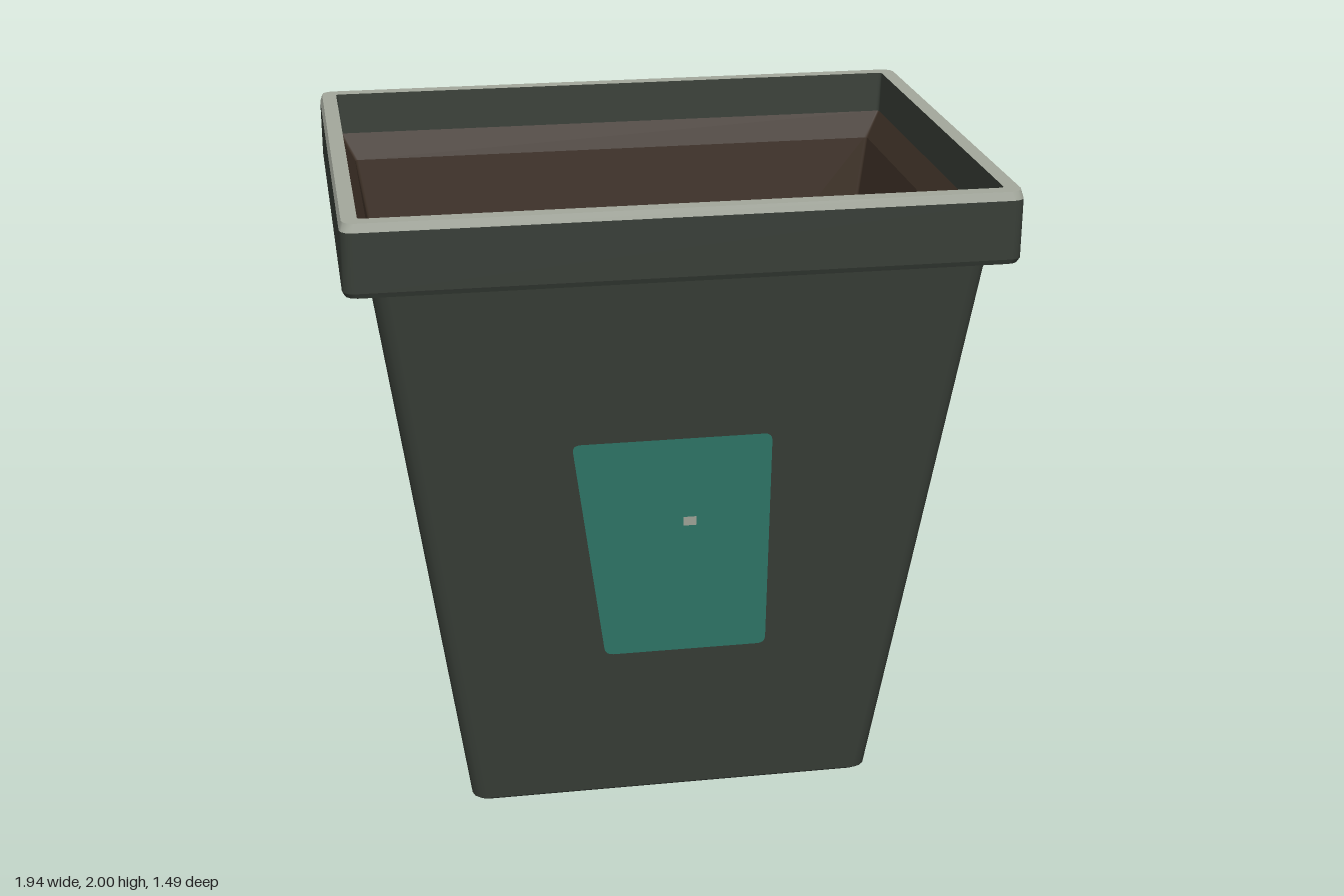
import * as THREE from 'three';

const material = (name, color) => {
  const m = new THREE.MeshStandardMaterial({ color });
  m.name = name;
  return m;
};

// Rounded rectangle ring in the xz plane: [half width, half depth, corner radius, height]
function ringPoints([hx, hz, r, y], seg = 3) {
  const pts = [];
  for (let q = 0; q < 4; q++) {
    const sx = q === 0 || q === 3 ? 1 : -1, sz = q < 2 ? 1 : -1;
    for (let i = 0; i <= seg; i++) {
      const a = (q + i / seg) * Math.PI / 2;
      pts.push(sx * (hx - r) + r * Math.cos(a), y, sz * (hz - r) + r * Math.sin(a));
    }
  }
  return pts;
}

// Skin between successive rings; every band has its own vertices so ring edges stay crisp
function loft(rings) {
  const pos = [], index = [];
  for (let k = 0; k < rings.length - 1; k++) {
    const base = pos.length / 3;
    const low = ringPoints(rings[k]), high = ringPoints(rings[k + 1]);
    const n = low.length / 3;
    pos.push(...low, ...high);
    for (let j = 0; j < n; j++) {
      const a = base + j, b = base + (j + 1) % n, c = a + n, d = b + n;
      index.push(a, c, b, b, c, d);
    }
  }
  const g = new THREE.BufferGeometry();
  g.setAttribute('position', new THREE.Float32BufferAttribute(pos, 3));
  g.setIndex(index);
  g.computeVertexNormals();
  return g;
}

// Outline with softened corners
function softShape(pts, r) {
  const v = pts.map(([x, y]) => new THREE.Vector2(x, y));
  const s = new THREE.Shape();
  v.forEach((p, i) => {
    const prev = v[(i + v.length - 1) % v.length], next = v[(i + 1) % v.length];
    const a = p.clone().add(prev.clone().sub(p).setLength(r));
    const b = p.clone().add(next.clone().sub(p).setLength(r));
    if (i) s.lineTo(a.x, a.y); else s.moveTo(a.x, a.y);
    s.quadraticCurveTo(p.x, p.y, b.x, b.y);
  });
  s.closePath();
  return s;
}

// Flat patch laid on a sloping wall; face is +1 for +z and -1 for -z
function wallPatch(pts, r, face, depthAt) {
  const g = new THREE.ShapeGeometry(softShape(pts.map(([x, y]) => [x * face, y]), r), 4);
  const p = g.attributes.position;
  for (let i = 0; i < p.count; i++) p.setZ(i, depthAt(p.getY(i)));
  g.computeVertexNormals();
  if (face < 0) g.rotateY(Math.PI);
  return g;
}

export function createModel() {
  const green = material('dark green', 0x383e37);
  const teal = material('teal', 0x2f7869);
  const grey = material('pale grey', 0xa3a89c);
  const brown = material('dark brown', 0x3d3026);

  const model = new THREE.Group();
  model.name = 'bin';
  const add = (name, geometry, mat) => {
    const m = new THREE.Mesh(geometry, mat);
    m.name = name;
    model.add(m);
  };

  // Tapered outer wall with its base
  add('outerBody', loft([[0, 0, 0, 0], [0.625, 0.48, 0.04, 0], [0.637, 0.492, 0.045, 0.01],
    [0.892, 0.685, 0.05, 1.785]]), green);

  // Overhanging collar, from its underside to the bevel
  add('collar', loft([[0.88, 0.67, 0.04, 1.785], [0.965, 0.738, 0.035, 1.785],
    [0.972, 0.744, 0.035, 1.8], [0.972, 0.744, 0.035, 1.975]]), green);

  // Pale lip on top
  add('lip', loft([[0.972, 0.744, 0.035, 1.975], [0.965, 0.737, 0.035, 2],
    [0.92, 0.692, 0.01, 2]]), grey);

  // Inside of the collar
  add('innerCollar', loft([[0.92, 0.692, 0.01, 2], [0.915, 0.687, 0.01, 1.87]]), green);

  // Inner walls and floor
  add('lining', loft([[0.915, 0.687, 0.01, 1.87], [0.87, 0.66, 0.01, 1.785],
    [0.597, 0.45, 0.005, 0.05], [0, 0, 0, 0.05]]), brown);

  // Label with a small mark, on front and back, and stains on the inner walls
  const outerZ = y => 0.491 + 0.1087 * (y - 0.01);
  const innerZ = y => 0.45 + 0.121 * (y - 0.05);
  const label = [[-0.222, 0.52], [0.28, 0.52], [0.272, 1.26], [-0.328, 1.26]];
  const mark = [[0.01, 0.965], [0.05, 0.965], [0.05, 0.995], [0.01, 0.995]];
  const stain = {
    front: [[-0.59, 0.55], [-0.48, 0.13], [0.25, 0.13], [0.31, 0.3], [0, 0.55], [-0.5, 0.63]],
    back: [[-0.53, 0.55], [-0.45, 0.13], [0, 0.13], [0.4, 0.45], [0.35, 0.7], [-0.1, 0.62]],
  };
  for (const [side, face] of [['front', 1], ['back', -1]]) {
    add(side + 'Label', wallPatch(label, 0.025, face, y => outerZ(y) + 0.005), teal);
    add(side + 'Mark', wallPatch(mark, 0.002, face, y => outerZ(y) + 0.009), grey);
    add(side + 'InnerStain', wallPatch(stain[side], 0.03, -face, y => 0.005 - innerZ(y)), green);
  }
  return model;
}
